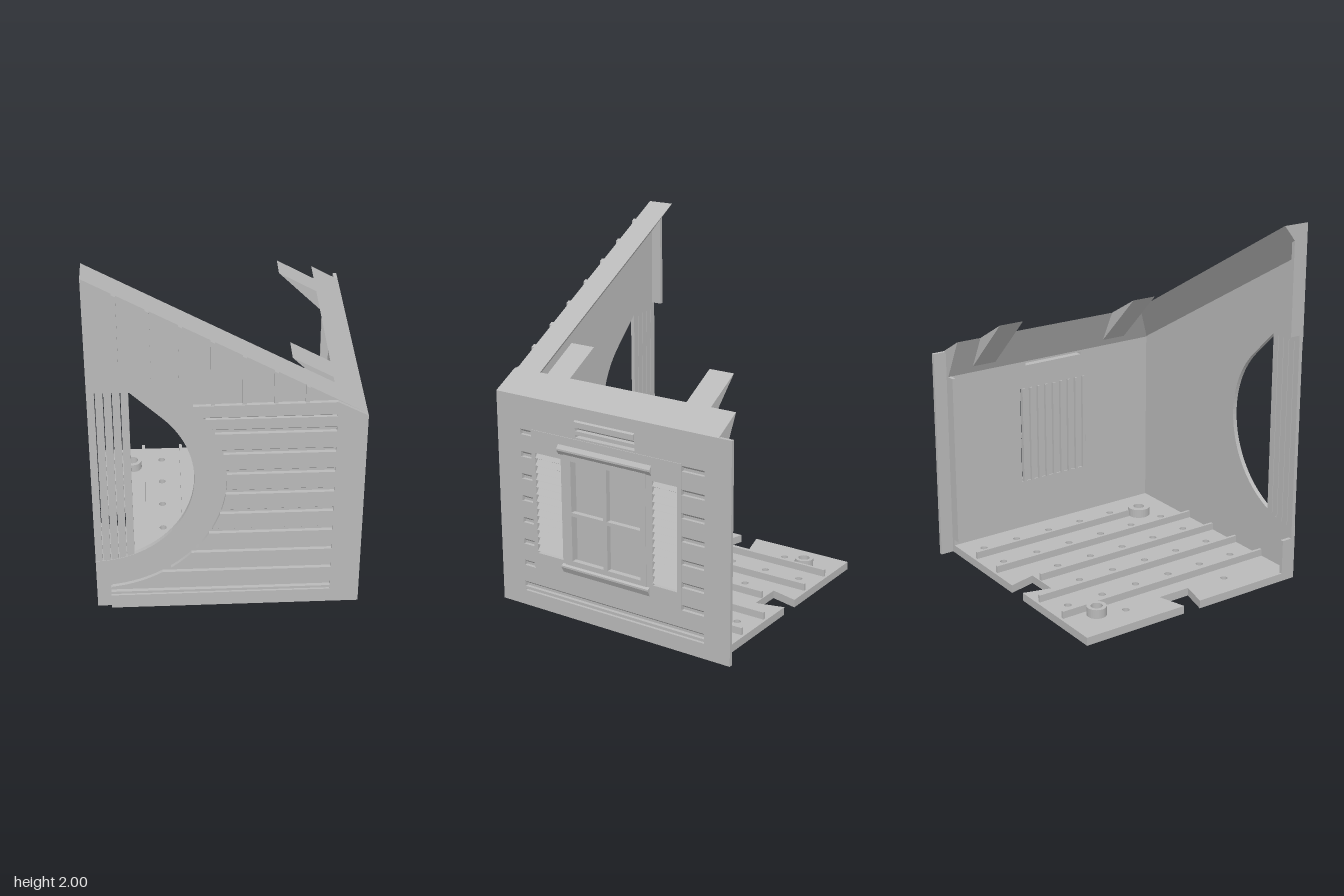
import * as THREE from 'three';

const SLOPE = 0.8 / 1.395; // roof pitch
const roofY = x => 2 - SLOPE * (x + 0.71);
const CX = -0.71, CY = 0.83; // centre of the round opening
const arcX = (y, r) => CX + Math.sqrt(Math.max(0, r * r - (y - CY) ** 2));

export function createModel() {
  const group = new THREE.Group();
  const grey = new THREE.MeshStandardMaterial({ color: 0xb9b9b9 });
  grey.name = 'light grey';

  const add = (name, geo) => {
    const m = new THREE.Mesh(geo, grey);
    m.name = name;
    group.add(m);
    return m;
  };
  const box = (name, x0, x1, y0, y1, z0, z1) =>
    add(name, new THREE.BoxGeometry(x1 - x0, y1 - y0, z1 - z0)
      .translate((x0 + x1) / 2, (y0 + y1) / 2, (z0 + z1) / 2));
  const poly = pts => new THREE.Shape(pts.map(p => new THREE.Vector2(p[0], p[1])));
  const rect = (a, b, c, d) => [[a, c], [b, c], [b, d], [a, d]];
  const hole = (shape, pts) => shape.holes.push(new THREE.Path(pts.map(p => new THREE.Vector2(p[0], p[1]))));
  const slab = (shape, depth) => new THREE.ExtrudeGeometry(shape, { depth, bevelEnabled: false, curveSegments: 16 });
  // outline in (x, y), extruded along z
  const alongZ = (shape, z0, z1) => slab(shape, z1 - z0).translate(0, 0, z0);
  // outline in (z, y), extruded along x
  const alongX = (shape, x0, x1) => slab(shape, x1 - x0).rotateY(-Math.PI / 2).translate(x1, 0, 0);
  // outline in (-z, y), extruded along x
  const sideways = (shape, x0, x1) => slab(shape, x1 - x0).rotateY(Math.PI / 2).translate(x0, 0, 0);

  // Front wall with a teardrop opening cut into its left edge
  const wall = new THREE.Shape();
  wall.moveTo(-0.71, 0);
  wall.lineTo(0.685, 0);
  wall.lineTo(0.685, 1.2);
  wall.lineTo(-0.71, 2);
  wall.lineTo(-0.71, 1.36);
  wall.lineTo(-0.5, 1.36);
  for (let i = 0; i <= 40; i++) {
    const a = Math.PI / 4 - (i / 40) * Math.PI * 0.75;
    wall.lineTo(CX + 0.525 * Math.cos(a), CY + 0.525 * Math.sin(a));
  }
  add('frontWall', alongZ(wall, 0.69, 0.715));

  // Vertical slats at the edge of the opening
  for (let i = 0; i < 5; i++) {
    const x0 = -0.71 + i * 0.042, x1 = x0 + 0.038;
    const low = x => CY - Math.sqrt(0.525 ** 2 - (x - CX) ** 2);
    add('openingSlat', alongZ(poly([[x0, low(x0)], [x1, low(x1)], [x1, 1.36], [x0, 1.36]]), 0.69, 0.712));
  }

  // Front siding: a comb of planks that stops at the ring around the opening
  const grooves = [[0.085, 0.095]];
  for (let k = 0; k < 9; k++) grooves.push([0.11 + k * 0.125, 0.14 + k * 0.125]);
  grooves.push([1.2, 1.213]);
  const edge = y => (y < 0.145 ? -0.635 : arcX(y, 0.69));
  const comb = [[-0.635, 0]];
  let last = 0.145;
  grooves.forEach(([a, b], i) => {
    if (a > 0.145) for (let j = 0; j < 8; j++) {
      const y = last + (a - last) * j / 8;
      comb.push([edge(y), y]);
    }
    comb.push([edge(a), a], [0.53, a], [0.53, b], [edge(b), b]);
    if (a > 0.145) last = b;
    if (i > 0) { // sloping underside of the plank above
      const s = poly([[0.715, b], [0.715, b - 0.016], [0.735, b]]);
      add('plankUnderside', alongX(s, edge(b), 0.53));
    }
  });
  comb.push([edge(1.28), 1.28], [0.53, 1.285], [0.685, 1.2], [0.685, 0]);
  add('frontSiding', alongZ(poly(comb), 0.715, 0.735));

  // Gable battens, cut at the roof pitch
  [1.5, 1.44, 1.33, 1.27, 1.27, 1.27, 1.27].forEach((y, i) => {
    const a = -0.567 + i * 0.156, b = a + 0.02;
    add('gableBatten', alongZ(poly([[a, y], [b, y], [b, roofY(b)], [a, roofY(a)]]), 0.715, 0.73));
  });

  // Sloping roof flange behind the front wall, sheared to the pitch
  const flange = alongX(poly([[0.56, 0], [0.715, 0], [0.715, -0.03], [0.69, -0.16]]), -0.71, 0.685);
  const p = flange.attributes.position;
  for (let i = 0; i < p.count; i++) p.setY(i, p.getY(i) + roofY(p.getX(i)));
  flange.computeVertexNormals();
  add('frontRoofFlange', flange);

  // Small joining lips on the free edge of the front wall
  box('frontEdgeLip', -0.71, -0.69, 1.4, 1.92, 0.63, 0.7);
  box('frontEdgeLip', -0.71, -0.69, 0.04, 0.24, 0.63, 0.7);

  // Side wall backing, with the window and vent slots cut through
  const slots = [[1.035, 1.05], [1.07, 1.088], [1.105, 1.122]];
  const back = poly(rect(-0.715, 0.66, 0, 1.21));
  hole(back, rect(-0.245, 0.2, 0.33, 0.9));
  slots.forEach(([a, b]) => hole(back, rect(-0.215, 0.16, a, b)));
  add('sideWall', sideways(back, 0.645, 0.665));

  // Side siding with grooves, shutter recesses and the window opening
  const skin = poly(rect(-0.735, 0.735, 0, 1.2));
  const ventSlots = slots.slice(0, 2);
  grooves.slice(0, 10).forEach(([a, b], i) => {
    const runs = i < 2 || i === 9 ? [[-0.58, 0.58]] : [[-0.58, -0.505], [0.445, 0.58]];
    runs.forEach(([u0, u1]) => {
      hole(skin, rect(u0, u1, a, b));
      if (i > 0) add('plankUnderside',
        alongZ(poly([[0.665, b], [0.665, b - 0.016], [0.685, b]]), -u1, -u0));
    });
  });
  ventSlots.forEach(([a, b]) => hole(skin, rect(-0.215, 0.16, a, b)));
  hole(skin, rect(-0.29, 0.23, 0.31, 0.93));
  const shutters = [[-0.48, -0.31], [0.27, 0.42]];
  shutters.forEach(([a, b]) => hole(skin, rect(a, b, 0.33, 0.9)));
  add('sideSiding', sideways(skin, 0.665, 0.685));

  // Raised surround
  const surround = poly(rect(-0.505, 0.445, 0.245, 1.025));
  hole(surround, rect(-0.29, 0.23, 0.31, 0.93));
  shutters.forEach(([a, b]) => hole(surround, rect(a, b, 0.33, 0.9)));
  add('windowSurround', sideways(surround, 0.685, 0.689));

  // Louvred shutters
  shutters.forEach(([a, b]) => {
    for (let i = 0; i < 14; i++) {
      const y = 0.33 + i * 0.57 / 14, h = 0.57 / 14;
      add('shutterLouvre', alongZ(poly([[0.665, y], [0.69, y + 0.012], [0.668, y + h], [0.665, y + h]]), -b, -a));
    }
  });

  // Window frame with four panes
  const frame = poly(rect(-0.29, 0.23, 0.31, 0.93));
  [[-0.245, -0.04], [-0.015, 0.195]].forEach(([a, b]) =>
    [[0.34, 0.595], [0.615, 0.9]].forEach(([c, d]) => hole(frame, rect(a, b, c, d))));
  add('windowFrame', sideways(frame, 0.662, 0.692));

  // Shade behind the panes, ribbed on the inside
  box('windowShade', 0.652, 0.658, 0.33, 0.9, -0.19, 0.237);
  for (let i = 0; i < 9; i++) {
    const z = -0.19 + i * 0.0515;
    box('shadeRib', 0.635, 0.653, 0.33, 0.9, z, z + 0.016);
  }

  // Lintel, sill and vent hood
  add('windowLintel', alongZ(poly([[0.685, 0.92], [0.705, 0.95], [0.705, 0.96], [0.685, 0.985]]), -0.265, 0.325));
  add('windowSill', alongZ(poly([[0.685, 0.255], [0.705, 0.295], [0.705, 0.305], [0.685, 0.315]]), -0.25, 0.31));
  add('ventHood', alongZ(poly([[0.685, 1.095], [0.694, 1.098], [0.694, 1.122], [0.685, 1.13]]), -0.16, 0.215));

  // Sloping eave flange on the side wall, with two pointed tabs
  add('sideRoofFlange', alongZ(poly([[0.53, roofY(0.53)], [0.645, 1.06], [0.685, 1.1], [0.685, 1.2]]), -0.66, 0.69));
  [[0.36, 0.51], [-0.515, -0.37]].forEach(([a, b]) =>
    add('roofTab', alongZ(poly([[0.32, roofY(0.32)], [0.645, 1.08], [0.66, roofY(0.66)]]), a, b)));

  // Joining strip on the rear edge of the side wall
  box('rearEdgeStrip', 0.6, 0.65, 0.08, 1.06, -0.66, -0.64);

  // Floor with dovetail notches and drain holes, drawn in (x, -z)
  const floor = poly([
    [-0.71, -0.69], [0.665, -0.69], [0.665, 0.66], [0.015, 0.66], [0.055, 0.505],
    [-0.135, 0.505], [-0.095, 0.66], [-0.71, 0.66], [-0.71, 0.045], [-0.555, 0.09],
    [-0.555, -0.1], [-0.71, -0.06],
  ]);
  const round = (shape, x, y, r) => {
    const c = new THREE.Path();
    c.absarc(x, y, r, 0, Math.PI * 2, true);
    shape.holes.push(c);
  };
  for (let i = 0; i < 6; i++) for (let j = 0; j < 6; j++) {
    if (i === 0 && j !== 1 && j !== 4) continue;
    if (j === 0 && (i === 2 || i === 3)) continue;
    round(floor, -0.57 + i * 0.218, 0.54 - j * 0.219, 0.02);
  }
  const bosses = [[-0.525, 0.475], [0.41, -0.47]];
  round(floor, ...bosses[0], 0.02);
  add('floor', slab(floor, 0.045).rotateX(-Math.PI / 2));

  // Floor ribs
  [-0.46, -0.235, -0.02, 0.2, 0.42].forEach((x, i) =>
    box('floorRib', x - 0.008, x + 0.008, 0.04, 0.085, i === 2 ? -0.5 : -0.645, i === 4 ? 0.4 : 0.69));

  // Round bosses on the floor
  bosses.forEach(([x, y], i) => {
    const ring = new THREE.Shape();
    ring.absarc(x, y, i ? 0.065 : 0.053, 0, Math.PI * 2, false);
    round(ring, x, y, 0.032);
    add('floorBoss', slab(ring, 0.055).rotateX(-Math.PI / 2).translate(0, 0.04, 0));
  });

  return group;
}
